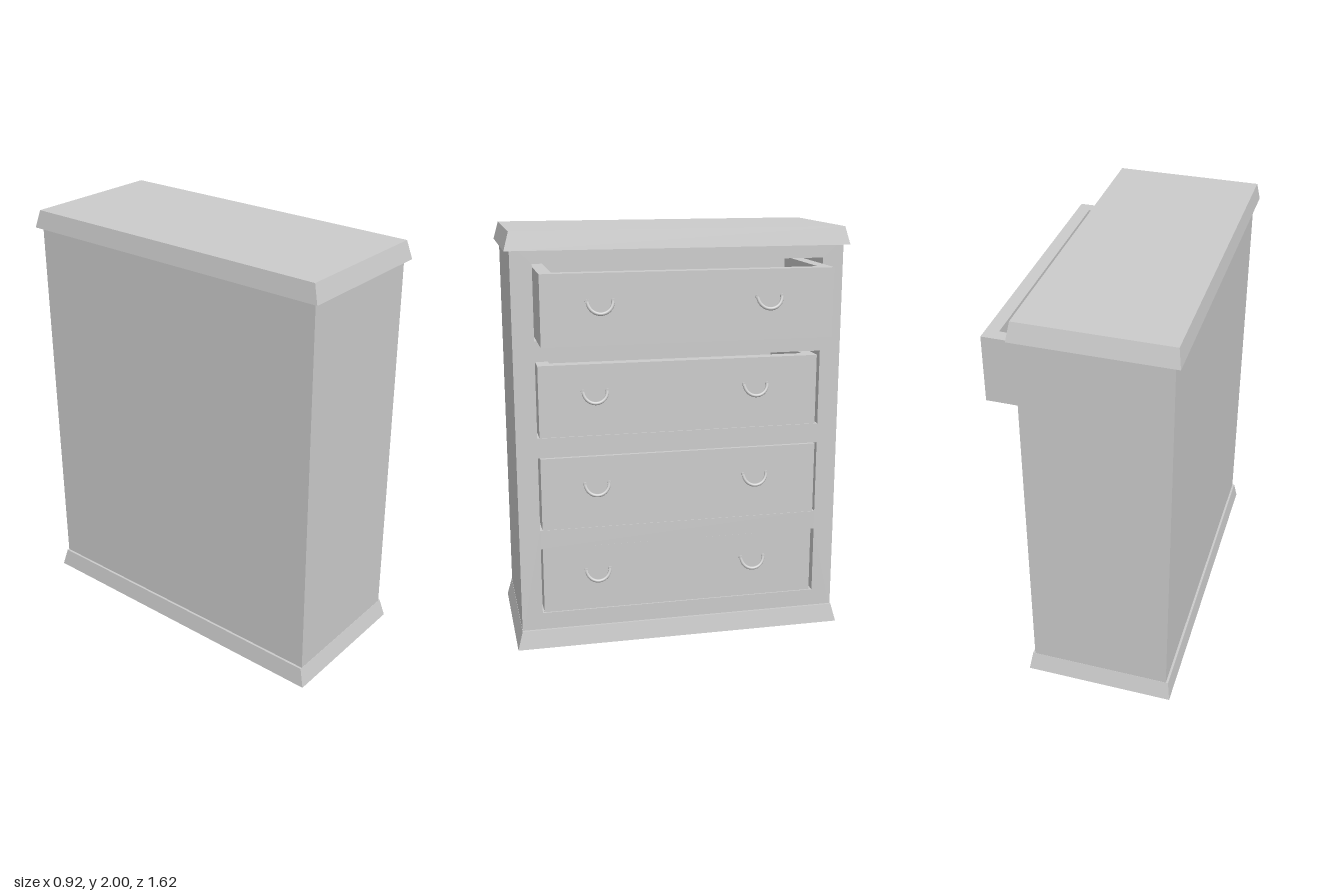
import * as THREE from 'three';

const grey = new THREE.MeshStandardMaterial({ color: 0xcccccc });
const FACE = 0.235, BACK = -0.435, INNER_BACK = -0.4, HALF = 0.785;

function add(parent, geometry, name) {
  const mesh = new THREE.Mesh(geometry, grey);
  mesh.name = name;
  parent.add(mesh);
  return mesh;
}

// Box given by its limits
function box(parent, name, x0, x1, y0, y1, z0, z1) {
  const g = new THREE.BoxGeometry(x1 - x0, y1 - y0, z1 - z0);
  g.translate((x0 + x1) / 2, (y0 + y1) / 2, (z0 + z1) / 2);
  return add(parent, g, name);
}

function rect(path, x0, x1, y0, y1) {
  path.moveTo(x0, y0);
  path.lineTo(x1, y0);
  path.lineTo(x1, y1);
  path.lineTo(x0, y1);
  path.closePath();
  return path;
}

// Slab whose top is narrower than its foot
function moulding(parent, name, y0, y1) {
  const g = new THREE.BoxGeometry(0.72, y1 - y0, 1.62);
  const p = g.attributes.position;
  for (let i = 0; i < p.count; i++) {
    if (p.getY(i) > 0) {
      p.setX(i, p.getX(i) - Math.sign(p.getX(i)) * 0.014);
      p.setZ(i, p.getZ(i) - Math.sign(p.getZ(i)) * 0.024);
    }
  }
  g.computeVertexNormals();
  g.translate(-0.1, (y0 + y1) / 2, 0);
  add(parent, g, name);
}

// Tilted half-ring pull on two small posts
function makeHandle() {
  const handle = new THREE.Group();
  handle.name = 'handle';
  const ring = new THREE.TorusGeometry(0.057, 0.008, 10, 24, Math.PI);
  ring.rotateZ(Math.PI);
  ring.rotateY(Math.PI / 2);
  ring.rotateZ(0.3);
  ring.translate(0.004, 0, 0);
  add(handle, ring, 'pull');
  for (const s of [-1, 1]) {
    const post = new THREE.CylinderGeometry(0.01, 0.01, 0.014, 12);
    post.rotateZ(Math.PI / 2);
    post.translate(0.004, 0, s * 0.058);
    add(handle, post, 'post');
  }
  return handle;
}

// Open-topped tray with thick walls and two pulls
function makeDrawer({ front, bottom, top, handleY }) {
  const drawer = new THREE.Group();
  drawer.name = 'drawer';
  const back = front - 0.6, wall = 0.06, z0 = -0.67, z1 = 0.675;
  const outline = rect(new THREE.Shape(), back, front, -z1, -z0);
  outline.holes.push(rect(new THREE.Path(), back + wall, front - wall, -z1 + wall, -z0 - wall));
  const walls = new THREE.ExtrudeGeometry(outline, { depth: top - bottom, bevelEnabled: false });
  walls.rotateX(-Math.PI / 2);
  walls.translate(0, bottom, 0);
  add(drawer, walls, 'drawerWalls');
  box(drawer, 'drawerFloor', back + wall, front - wall, bottom, bottom + 0.04, z0 + wall, z1 - wall);
  for (const z of [0.41, -0.365]) {
    const handle = makeHandle();
    handle.position.set(front, handleY, z);
    drawer.add(handle);
  }
  return drawer;
}

export function createModel() {
  const model = new THREE.Group();
  model.name = 'chestOfDrawers';

  // Opening limits and the drawer sitting in each
  const bays = [
    { open: [1.505, 1.855], front: 0.43, bottom: 1.508, top: 1.83, handleY: 1.707 },
    { open: [1.048, 1.41], front: 0.237, bottom: 1.05, top: 1.39, handleY: 1.262 },
    { open: [0.595, 0.952], front: 0.246, bottom: 0.6, top: 0.95, handleY: 0.817 },
    { open: [0.174, 0.502], front: 0.23, bottom: 0.175, top: 0.5, handleY: 0.378 },
  ];

  // Carcass with a deep bay for every drawer
  const outline = rect(new THREE.Shape(), -HALF, HALF, 0.05, 1.95);
  for (const { open } of bays) {
    outline.holes.push(rect(new THREE.Path(), -0.685, 0.685, open[0], open[1]));
  }
  const carcass = new THREE.ExtrudeGeometry(outline, { depth: FACE - INNER_BACK, bevelEnabled: false });
  carcass.rotateY(Math.PI / 2);
  carcass.translate(INNER_BACK, 0, 0);
  add(model, carcass, 'carcass');
  box(model, 'backPanel', BACK, INNER_BACK, 0.05, 1.95, -HALF, HALF);

  // Plinth and top
  moulding(model, 'plinth', 0, 0.09);
  moulding(model, 'topBoard', 1.915, 2);

  for (const bay of bays) model.add(makeDrawer(bay));
  return model;
}
